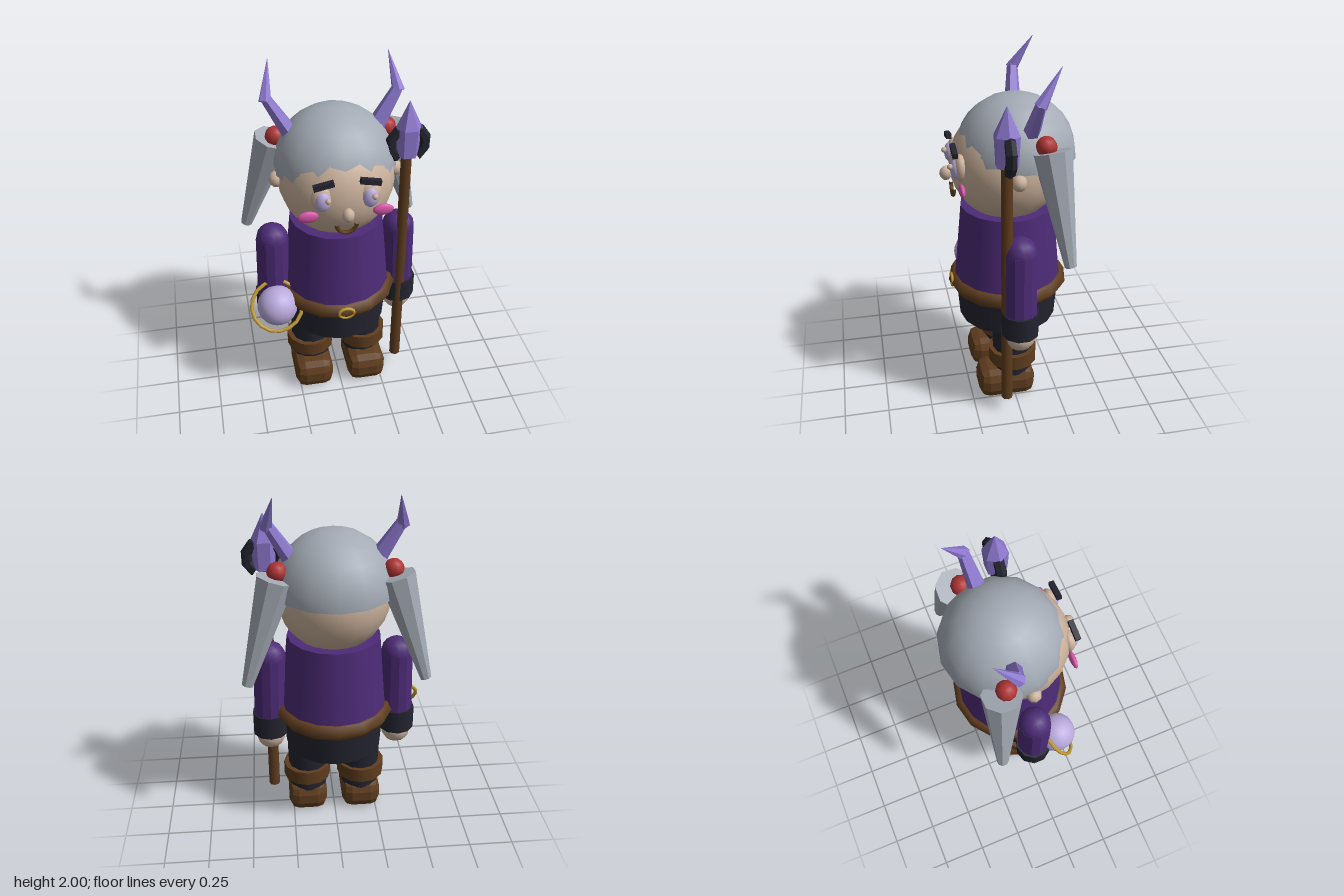
import * as THREE from 'three';
import { RoundedBoxGeometry } from 'three/addons/geometries/RoundedBoxGeometry.js';

const V = (x, y, z) => new THREE.Vector3(x, y, z);

function makeMaterials() {
  const colors = {
    skin: 0xcbb29c, hair: 0xa4abb5, tunicPurple: 0x4d2b77, hornPurple: 0x8f7ad2, lavender: 0xb9aadc,
    darkCloth: 0x23242f, brownLeather: 0x5f3d1e, gold: 0xc29a34, red: 0xae3434, pink: 0xd656a8,
  };
  const mats = {};
  for (const [name, color] of Object.entries(colors)) {
    mats[name] = new THREE.MeshStandardMaterial({ color });
    mats[name].name = name;
  }
  mats.hair.side = THREE.DoubleSide;
  return mats;
}

// Faceted version of a geometry
function facet(geo) {
  const g = geo.index ? geo.toNonIndexed() : geo;
  g.computeVertexNormals();
  return g;
}

export function createModel() {
  const root = new THREE.Group();
  root.name = 'hornedMage';
  const m = makeMaterials();

  const add = (name, geo, mat, x, y, z) => {
    const mesh = new THREE.Mesh(geo, mat);
    mesh.name = name;
    mesh.position.set(x, y, z);
    root.add(mesh);
    return mesh;
  };
  const ball = (name, mat, x, y, z, rx, ry = rx, rz = rx, w = 12, h = 8) => {
    const mesh = add(name, new THREE.SphereGeometry(1, w, h), mat, x, y, z);
    mesh.scale.set(rx, ry, rz);
    return mesh;
  };
  // Upright tapered cylinder between two heights
  const drum = (name, mat, x, z, y0, y1, r0, r1, n = 12) =>
    add(name, new THREE.CylinderGeometry(r1, r0, y1 - y0, n), mat, x, (y0 + y1) / 2, z);
  // Tapered faceted cylinder between two points
  const limb = (name, mat, a, b, ra, rb, n) => {
    const mid = a.clone().add(b).multiplyScalar(0.5);
    const mesh = add(name, facet(new THREE.CylinderGeometry(rb, ra, a.distanceTo(b), n)), mat, mid.x, mid.y, mid.z);
    mesh.quaternion.setFromUnitVectors(V(0, 1, 0), b.clone().sub(a).normalize());
    return mesh;
  };

  // Head and hair cap
  ball('head', m.skin, 0, 1.4, 0, 0.315, 0.315, 0.315, 20, 14);
  const cap = add('hairCap', new THREE.SphereGeometry(0.332, 14, 7, 0, Math.PI * 2, 0, Math.PI / 2), m.hair, 0, 1.448, -0.045);
  cap.rotation.y = Math.PI / 2;

  // Nose and smiling mouth
  ball('nose', m.skin, 0, 1.36, 0.335, 0.034, 0.04, 0.036, 8, 6);
  const mouth = add('mouth', new THREE.TorusGeometry(0.053, 0.012, 6, 10, Math.PI), m.brownLeather, 0, 1.285, 0.302);
  mouth.rotation.z = Math.PI;

  // Torso, belt, buckle and skirt
  drum('tunic', m.tunicPurple, 0, 0, 0.68, 1.16, 0.308, 0.262, 16);
  drum('tunicSkirt', m.darkCloth, 0, 0, 0.46, 0.7, 0.28, 0.298, 16);
  const belt = add('belt', new THREE.TorusGeometry(0.292, 0.05, 6, 14), m.brownLeather, 0, 0.69, 0);
  belt.rotation.x = Math.PI / 2;
  belt.rotation.z = Math.PI / 2;
  const buckle = add('buckle', new THREE.TorusGeometry(0.042, 0.011, 6, 12), m.gold, 0, 0.69, 0.323);
  buckle.scale.y = 0.75;

  for (const s of [-1, 1]) {
    // Face details
    ball('ear', m.skin, s * 0.323, 1.41, 0, 0.042, 0.045, 0.042, 8, 6);
    ball('eyelid', m.skin, s * 0.123, 1.435, 0.272, 0.06, 0.075, 0.038);
    ball('eye', m.lavender, s * 0.123, 1.43, 0.293, 0.043, 0.057, 0.034);
    ball('eyeGlint', m.skin, s * 0.12 + 0.018, 1.452, 0.328, 0.016, 0.016, 0.016, 8, 6);
    ball('cheek', m.pink, s * 0.197, 1.335, 0.277, 0.056, 0.033, 0.017);
    const brow = add('eyebrow', new THREE.BoxGeometry(0.108, 0.028, 0.028), m.darkCloth, s * 0.12, 1.53, 0.303);
    brow.rotation.z = -s * 0.2;

    // Horns in two bent segments
    const base = V(s * 0.215, 1.61, -0.075), elbow = V(s * 0.345, 1.83, -0.1);
    limb('hornBase', m.hornPurple, base, elbow, 0.05, 0.03, 6);
    limb('hornTip', m.hornPurple, V(s * 0.35, 1.815, -0.095), V(s * 0.315, 2.0, -0.208), 0.036, 0.001, 6);

    // Pigtails with ties
    ball('hairTie', m.red, s * 0.303, 1.59, -0.142, 0.055, 0.055, 0.055, 10, 8);
    const tail = limb('pigtail', m.hair, V(s * 0.485, 0.985, -0.24), V(s * 0.312, 1.565, -0.17), 0.032, 0.105, 8);
    tail.rotateY(Math.PI / 8);

    // Arms
    ball('shoulder', m.tunicPurple, s * 0.362, 1.025, 0, 0.092);
    limb('sleeve', m.tunicPurple, V(s * 0.37, 0.6, 0), V(s * 0.362, 1.03, 0), 0.094, 0.092, 12);
    drum('cuff', m.darkCloth, s * 0.372, 0, 0.53, 0.667, 0.104, 0.104, 10);
    ball('hand', m.skin, s * 0.372, 0.51, 0, 0.086);

    // Legs and boots
    drum('leg', m.darkCloth, s * 0.157, 0, 0.15, 0.48, 0.112, 0.12);
    drum('bootCuff', m.brownLeather, s * 0.162, 0, 0.215, 0.3, 0.14, 0.14);
    add('shoe', facet(new RoundedBoxGeometry(0.23, 0.175, 0.33, 1, 0.058)), m.brownLeather, s * 0.162, 0.0875, 0.045);
  }

  // Staff with crystal and open ring
  drum('staff', m.brownLeather, 0.365, 0.073, 0.09, 1.54, 0.033, 0.03, 8);
  const crystal = [[0, 1.53], [0.062, 1.53], [0.07, 1.69], [0, 1.84]].map(([r, y]) => new THREE.Vector2(r, y));
  const gem = add('staffCrystal', facet(new THREE.LatheGeometry(crystal, 6)), m.hornPurple, 0.367, 0, 0.073);
  gem.rotation.y = Math.PI / 2;
  const ring = add('staffRing', facet(new THREE.TorusGeometry(0.094, 0.031, 6, 8, Math.PI * 1.62)), m.darkCloth, 0.37, 1.595, 0.07);
  ring.rotation.z = -Math.PI * 0.31;

  // Floating orb with tilted ring
  ball('orb', m.lavender, -0.367, 0.655, 0.145, 0.115, 0.115, 0.115, 18, 14);
  const halo = add('orbRing', new THREE.TorusGeometry(0.145, 0.011, 6, 16), m.gold, -0.37, 0.652, 0.148);
  halo.rotation.x = -0.6;

  return root;
}
